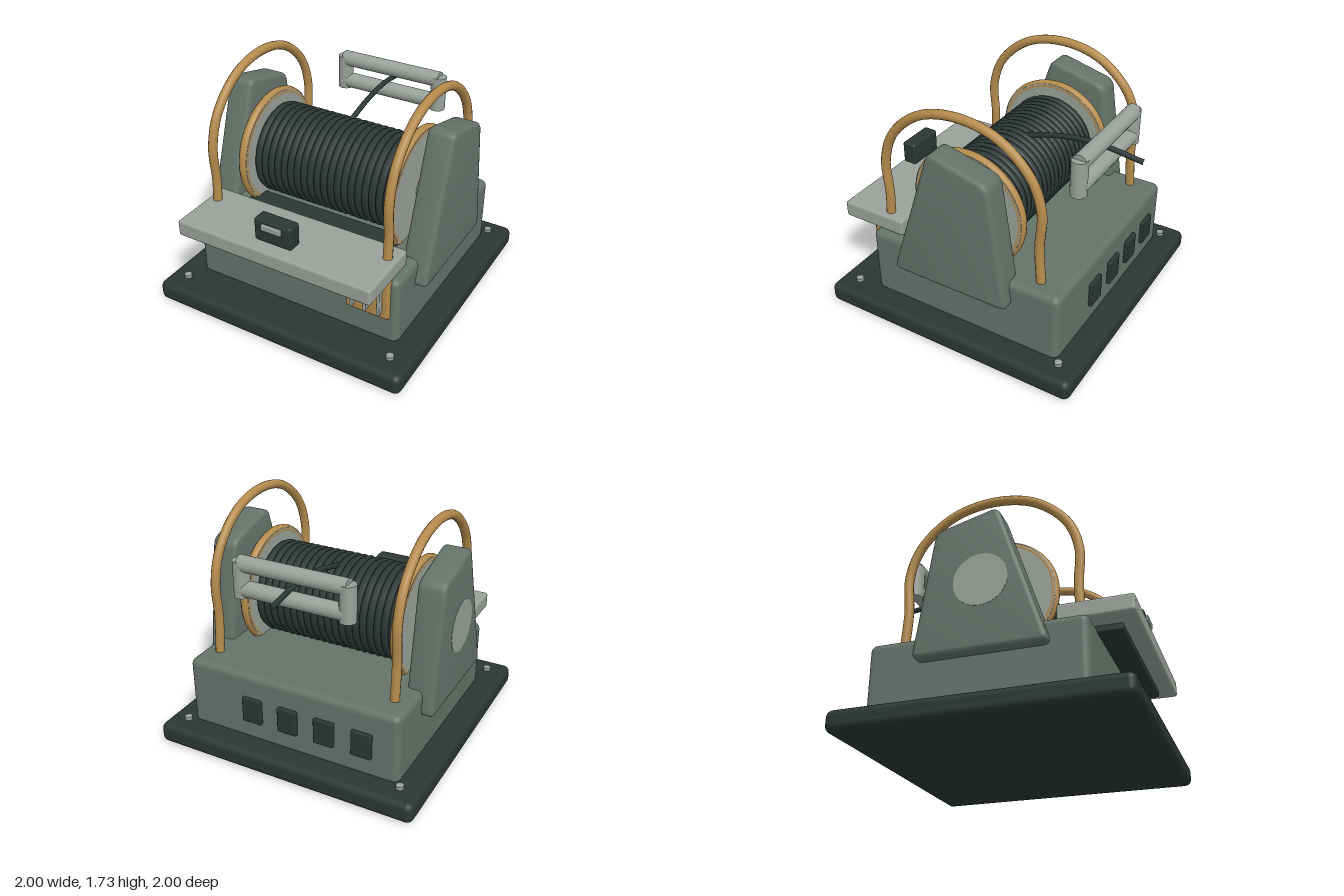
import * as THREE from 'three';
import { toCreasedNormals } from 'three/addons/utils/BufferGeometryUtils.js';
import { RoundedBoxGeometry } from 'three/addons/geometries/RoundedBoxGeometry.js';

const material = (name, color) => {
  const m = new THREE.MeshStandardMaterial({ color });
  m.name = name;
  return m;
};

export function createModel() {
  const green = material('machine green', 0x64736a);
  const dark = material('dark slate', 0x2b3635);
  const brass = material('brass', 0xb58b4c);
  const grey = material('light grey', 0x9aa19a);
  const model = new THREE.Group();
  model.name = 'winch';

  const add = (name, geometry, mat, x = 0, y = 0, z = 0, parent = model) => {
    const mesh = new THREE.Mesh(geometry, mat);
    mesh.name = name;
    mesh.position.set(x, y, z);
    parent.add(mesh);
    return mesh;
  };
  // Rounded box given by its extents on each axis
  const box = (name, mat, [x0, x1], [y0, y1], [z0, z1], r) =>
    add(name, new RoundedBoxGeometry(x1 - x0, y1 - y0, z1 - z0, 3, r), mat,
      (x0 + x1) / 2, (y0 + y1) / 2, (z0 + z1) / 2);
  // Cylinder lying along x
  const axle = (r, length, sides = 48) => new THREE.CylinderGeometry(r, r, length, sides).rotateZ(Math.PI / 2);
  const tube = (points, r, segments) => new THREE.TubeGeometry(
    new THREE.CatmullRomCurve3(points.map(p => new THREE.Vector3(...p))), segments, r, 12);

  // Base plate, bolts and housing
  box('basePlate', dark, [-1, 1], [0, 0.155], [-1, 1], 0.05);
  for (const x of [-0.85, 0.85]) for (const z of [-0.85, 0.84])
    add('bolt', new THREE.CylinderGeometry(0.028, 0.028, 0.04, 12), grey, x, 0.16, z);
  box('housing', green, [-0.82, 0.82], [0.12, 0.655], [-0.818, 0.692], 0.05);
  for (let i = 0; i < 4; i++) {
    const x = -0.555 + 0.283 * i;
    box('backVent', dark, [x - 0.075, x + 0.075], [0.29, 0.48], [-0.845, -0.81], 0.008);
  }

  // Tapered side supports
  const corners = [[-0.455, 0.467], [0.472, 0.467], [0.337, 1.395], [-0.11, 1.51]]
    .map(c => new THREE.Vector2(...c));
  const outline = new THREE.Shape();
  corners.forEach((c, i) => {
    const towards = p => c.clone().add(p.clone().sub(c).setLength(0.06));
    const a = towards(corners[(i + 3) % 4]), b = towards(corners[(i + 1) % 4]);
    if (i) outline.lineTo(a.x, a.y); else outline.moveTo(a.x, a.y);
    outline.quadraticCurveTo(c.x, c.y, b.x, b.y);
  });
  outline.closePath();
  const supportGeometry = toCreasedNormals(new THREE.ExtrudeGeometry(outline, {
    depth: 0.14, bevelSize: 0.03, bevelThickness: 0.03, bevelOffset: -0.03, bevelSegments: 3, curveSegments: 6,
  }).translate(0, 0, -0.07).rotateY(Math.PI / 2), 0.6);
  for (const s of [-1, 1]) add('sideSupport', supportGeometry, green, s * 0.8);

  // Drum with flanges and wound cable
  const drum = new THREE.Group();
  drum.name = 'drum';
  drum.position.y = 0.965;
  model.add(drum);
  add('shaft', axle(0.08, 1.5, 24), grey, 0, 0, 0, drum);
  add('bearingCap', axle(0.19, 0.1), grey, -0.852, 0, 0, drum);
  add('bearingCap', axle(0.19, 0.1), grey, 0.848, 0, 0, drum);
  add('drumCore', axle(0.302, 1.12), dark, 0, 0, 0, drum);
  const rim = new THREE.TorusGeometry(0.41, 0.036, 12, 64).rotateY(Math.PI / 2);
  for (const s of [-1, 1]) {
    add('flange', axle(0.427, 0.068, 64), grey, s * 0.592, 0, 0, drum);
    add('flangeRim', rim, brass, s * 0.592, 0, 0, drum);
  }
  const wrap = new THREE.TorusGeometry(0.316, 0.029, 8, 48).rotateY(Math.PI / 2);
  for (let i = 0; i < 20; i++) add('cableWrap', wrap, dark, -0.5225 + 0.055 * i, 0, 0, drum);

  // Guard hoops
  const half = [[0, 0.62, 0.64], [0, 0.603, 0.92], [0, 0.614, 1.2], [0, 0.53, 1.43], [0, 0.3, 1.63]]
    .map(([x, z, y]) => [x, y, z]);
  const hoop = tube([...half, [0, 1.695, 0], ...half.map(([x, y, z]) => [x, y, -z]).reverse()], 0.033, 80);
  for (const s of [-1, 1]) add('guardHoop', hoop, brass, s * 0.693);

  // Cable end and its guide frame
  add('cableEnd', tube([[0, 1.27, -0.1], [0, 1.335, -0.35], [0, 1.364, -0.62], [0, 1.322, -0.985]], 0.019, 40), dark);
  for (const y of [1.262, 1.442]) add('guideRail', axle(0.058, 0.81, 24), grey, 0, y, -0.715);
  for (const s of [-1, 1])
    add('guidePost', new THREE.CylinderGeometry(0.058, 0.058, 0.26, 24), grey, s * 0.397, 1.335, -0.715);

  // Front shelf with control box
  box('shelf', grey, [-0.765, 0.765], [0.647, 0.77], [0.465, 0.975], 0.02);
  box('shelfBracket', dark, [-0.615, 0.615], [0.603, 0.665], [0.2, 0.86], 0.01);
  box('controlBox', dark, [-0.147, 0.145], [0.8, 0.975], [0.805, 0.917], 0.02);
  box('controlDisplay', grey, [-0.08, 0.073], [0.905, 0.95], [0.9, 0.935], 0.006);

  // Brass terminal block with bars
  box('terminalBlock', brass, [0.435, 0.765], [0.337, 0.655], [0.6, 0.715], 0.02);
  for (const x of [0.497, 0.6, 0.703])
    box('terminalBar', grey, [x - 0.012, x + 0.012], [0.385, 0.617], [0.7, 0.755], 0.006);

  return model;
}
